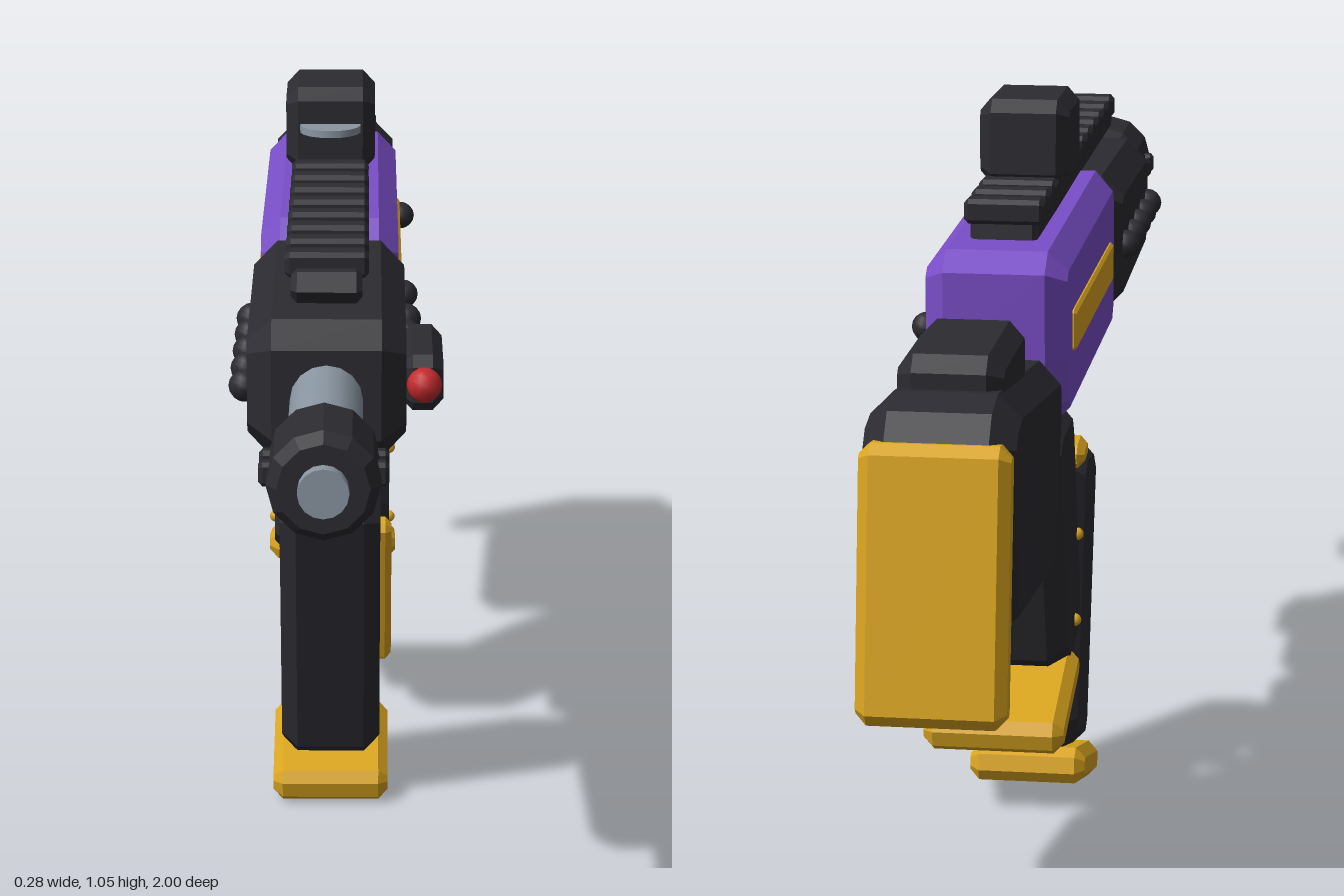
import * as THREE from 'three';

const CX = -0.013; // centre line of the body
const paint = (name, color) => Object.assign(new THREE.MeshStandardMaterial({ color }), { name });

// Side profile given as [z, y], extruded across x with chamfered edges
function slabGeometry(points, width, bevel) {
  const shape = new THREE.Shape(points.map(([z, y]) => new THREE.Vector2(-z, y)));
  const depth = width - 2 * bevel;
  const g = new THREE.ExtrudeGeometry(shape, {
    depth, bevelEnabled: true, bevelThickness: bevel, bevelSize: bevel,
    bevelOffset: -bevel, bevelSegments: 1,
  });
  g.translate(0, 0, -depth / 2);
  g.rotateY(Math.PI / 2);
  return g;
}

// Box with every edge chamfered
function blockGeometry(w, h, d, bevel) {
  const c = bevel, y = h / 2, z = d / 2;
  return slabGeometry([
    [z, -y + c], [z, y - c], [z - c, y], [-z + c, y],
    [-z, y - c], [-z, -y + c], [-z + c, -y], [z - c, -y],
  ], w, bevel);
}

export function createModel() {
  const black = paint('black polymer', 0x2b2b31);
  const purple = paint('purple shell', 0x7a4ec8);
  const gold = paint('gold trim', 0xdaa520);
  const steel = paint('steel', 0x8a96a2);
  const red = paint('red lens', 0xc42a2e);
  const model = new THREE.Group();
  model.name = 'rifle';

  function add(name, geometry, material, x = 0, y = 0, z = 0, tilt = 0) {
    const mesh = new THREE.Mesh(geometry, material);
    mesh.name = name;
    mesh.position.set(x, y, z);
    mesh.rotation.x = tilt;
    model.add(mesh);
    return mesh;
  }
  const slab = (name, mat, pts, w, bevel) => add(name, slabGeometry(pts, w, bevel), mat, CX);
  const block = (name, mat, [w, h, d], [x, y, z], bevel, tilt) =>
    add(name, blockGeometry(w, h, d, bevel), mat, x, y, z, tilt);
  const ball = (name, mat, r, x, y, z) => add(name, new THREE.SphereGeometry(r, 10, 8), mat, x, y, z);

  // Receiver and handguard
  slab('receiver', purple, [
    [0.19, 0.70], [0.19, 0.87], [0.16, 0.91], [-0.40, 0.905], [-0.435, 0.88],
    [-0.43, 0.76], [-0.41, 0.685], [-0.38, 0.66], [0.16, 0.665],
  ], 0.19, 0.027);
  slab('handguard', black, [
    [0.617, 0.73], [0.617, 0.85], [0.585, 0.883], [0.22, 0.893], [0.18, 0.87],
    [0.18, 0.71], [0.22, 0.683], [0.575, 0.695],
  ], 0.205, 0.032);

  // Side stripes and pins
  for (const side of [-1, 1]) {
    block('receiverStripe', gold, [0.012, 0.056, 0.46], [CX + side * 0.095, 0.787, -0.12], 0.004);
  }
  for (const z of [0.107, -0.35]) ball('receiverPin', black, 0.02, 0.09, 0.787, z);
  for (const z of [0.235, 0.317]) ball('handguardScrew', black, 0.021, 0.092, 0.787, z);
  for (let i = 0; i < 5; i++) ball('handguardScrew', black, 0.021, -0.119, 0.787, 0.235 + i * 0.081);

  // Side laser
  block('laserHousing', black, [0.054, 0.075, 0.175], [0.111, 0.784, 0.46], 0.014);
  ball('laserLens', red, 0.023, 0.113, 0.786, 0.552);

  // Barrel and muzzle
  const round = (r, length, sides = 16) => new THREE.CylinderGeometry(r, r, length, sides).rotateX(Math.PI / 2);
  add('barrel', round(0.047, 0.28), steel, CX, 0.784, 0.73);
  add('bore', round(0.031, 0.06), steel, CX, 0.784, 0.97);
  const muzzleProfile = [[0, 0.838], [0.056, 0.838], [0.069, 0.853], [0.069, 0.965], [0.056, 0.982], [0, 0.982]]
    .map(([r, z]) => new THREE.Vector2(r, z));
  const muzzle = new THREE.LatheGeometry(muzzleProfile, 12).rotateX(Math.PI / 2).toNonIndexed();
  muzzle.computeVertexNormals();
  add('muzzle', muzzle, black, CX, 0.784);
  for (const side of [-1, 1]) {
    for (const z of [0.87, 0.917]) {
      block('muzzleLug', black, [0.02, 0.03, 0.022], [CX + side * 0.069, 0.784, z], 0.005);
    }
  }

  // Top rail
  slab('railBase', black, [[0.585, 0.918], [0.565, 0.94], [-0.33, 0.94], [-0.335, 0.9], [0.57, 0.9]], 0.092, 0.008);
  for (let i = 0; i < 13; i++) {
    block('railTooth', black, [0.108, 0.034, 0.036], [CX, 0.943, 0.53 - i * 0.0708], 0.006);
  }

  // Sight with a flat lens sticking out in front
  block('sightMount', black, [0.092, 0.06, 0.13], [CX, 0.93, -0.057], 0.008);
  block('sight', black, [0.125, 0.12, 0.155], [CX, 1.0, -0.057], 0.017);
  add('sightLens', new THREE.CylinderGeometry(0.043, 0.043, 0.01, 18), steel, CX, 1.006, 0.024);

  // Stock
  slab('stock', black, [
    [-0.43, 0.69], [-0.43, 0.745], [-0.455, 0.77], [-0.85, 0.822], [-0.905, 0.81],
    [-0.935, 0.775], [-0.92, 0.565], [-0.885, 0.52], [-0.53, 0.485], [-0.485, 0.51],
  ], 0.188, 0.03);
  block('cheekRest', black, [0.133, 0.09, 0.235], [CX, 0.815, -0.715], 0.02);
  block('buttPlate', gold, [0.186, 0.345, 0.052], [CX, 0.607, -0.953], 0.014, 0.14);

  // Grip
  slab('grip', black, [
    [-0.25, 0.67], [-0.38, 0.67], [-0.423, 0.635], [-0.412, 0.58], [-0.333, 0.315], [-0.28, 0.272],
    [-0.18, 0.295], [-0.14, 0.328], [-0.147, 0.39], [-0.225, 0.635],
  ], 0.172, 0.027);
  block('gripBase', gold, [0.192, 0.05, 0.215], [CX, 0.267, -0.354], 0.014, -0.27);
  for (const side of [-1, 1]) {
    ball('gripScrew', gold, 0.009, CX + side * 0.086, 0.345, -0.232);
    ball('gripScrew', gold, 0.009, CX + side * 0.086, 0.463, -0.207);
  }

  // Trigger and its guard
  block('triggerGuardFront', black, [0.044, 0.13, 0.022], [CX, 0.61, -0.018], 0.005);
  block('triggerGuardBottom', black, [0.044, 0.024, 0.15], [CX, 0.556, -0.078], 0.005);
  block('triggerGuardRear', black, [0.044, 0.12, 0.022], [CX, 0.61, -0.152], 0.005, -0.3);
  block('trigger', gold, [0.188, 0.034, 0.062], [CX, 0.572, -0.17], 0.01, -0.1);

  // Magazine
  slab('magazine', black, [
    [0.178, 0.47], [0.135, 0.512], [0.035, 0.528], [0.0, 0.5], [-0.096, 0.142],
    [-0.075, 0.1], [0.032, 0.067], [0.07, 0.089],
  ], 0.143, 0.023);
  block('magazineStripe', gold, [0.026, 0.24, 0.038], [0.062, 0.325, 0.04], 0.009, 0.28);
  block('magazineBase', gold, [0.168, 0.052, 0.2], [CX, 0.055, -0.006], 0.014, 0.27);

  return model;
}
